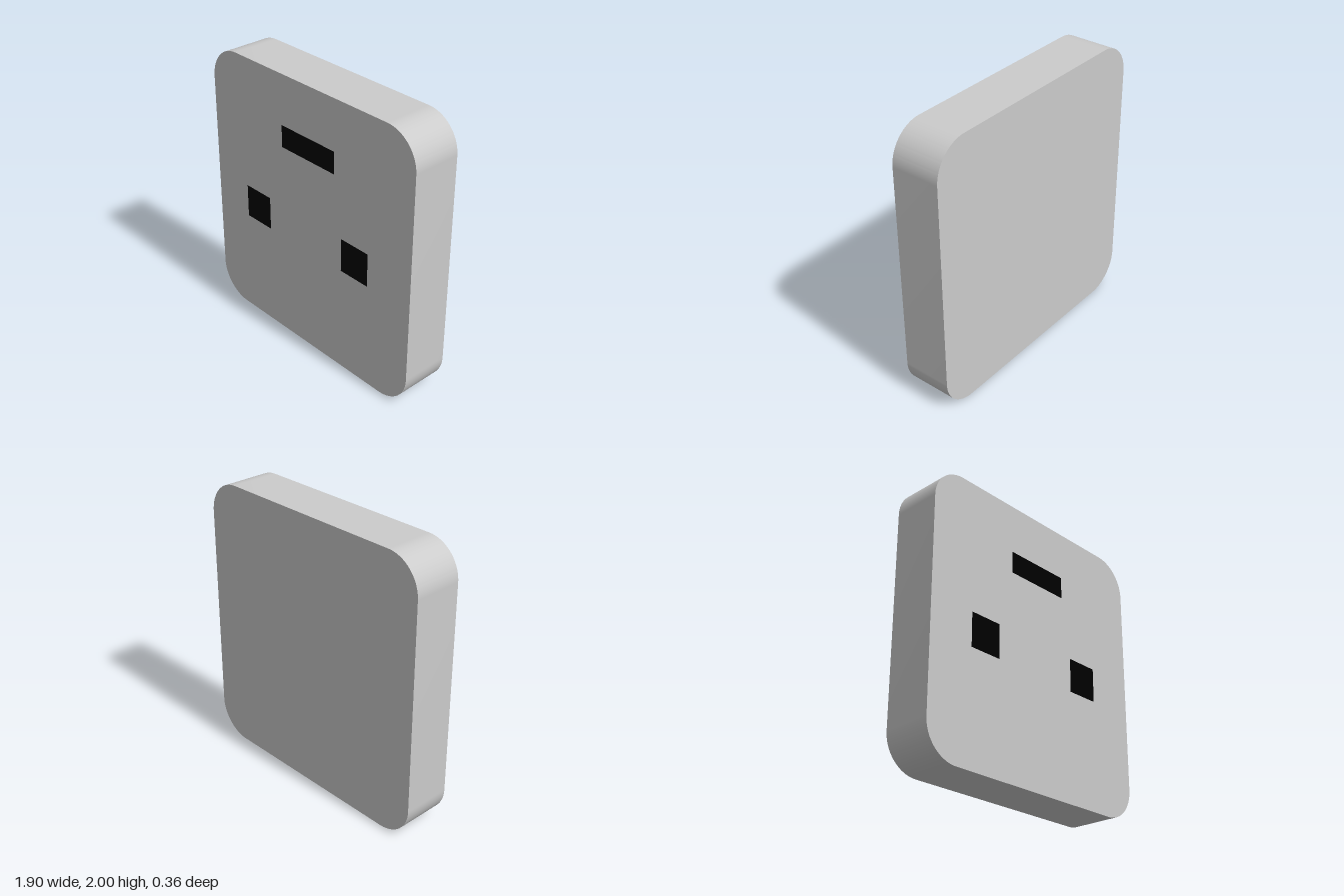
import * as THREE from 'three';
import { toCreasedNormals } from 'three/addons/utils/BufferGeometryUtils.js';

const W = 0.95, H = 2, R = 0.245, BACK = -0.183, FRONT = 0.167;

// Outline of the slab: a rectangle with rounded corners
function roundedOutline() {
  const s = new THREE.Shape();
  s.moveTo(-W + R, 0);
  s.absarc(W - R, R, R, -Math.PI / 2, 0);
  s.absarc(W - R, H - R, R, 0, Math.PI / 2);
  s.absarc(-W + R, H - R, R, Math.PI / 2, Math.PI);
  s.absarc(-W + R, R, R, Math.PI, Math.PI * 1.5);
  return s;
}

export function createModel() {
  const model = new THREE.Group();
  model.name = 'socketPlate';
  const grey = new THREE.MeshStandardMaterial({ color: 0xcccccc });
  const black = new THREE.MeshStandardMaterial({ color: 0x000000, side: THREE.DoubleSide });

  // Slab with smooth corners and sharp front and back rims
  const slab = new THREE.ExtrudeGeometry(roundedOutline(), {
    depth: FRONT - BACK, bevelEnabled: false, curveSegments: 20,
  });
  slab.translate(0, 0, BACK);
  const body = new THREE.Mesh(toCreasedNormals(slab, Math.PI / 6), grey);
  body.name = 'body';
  model.add(body);

  // Thin black panels just in front of the face: name, x, y, z, width, height
  for (const [name, x, y, z, w, h] of [
    ['topSlot', 0.01, 1.56, 0.17, 0.5, 0.16],
    ['rightSlot', -0.492, 0.918, 0.181, 0.245, 0.245],
    ['leftSlot', 0.457, 0.914, 0.173, 0.245, 0.245],
  ]) {
    const slot = new THREE.Mesh(new THREE.PlaneGeometry(w, h), black);
    slot.name = name;
    slot.position.set(x, y, z);
    model.add(slot);
  }
  return model;
}
